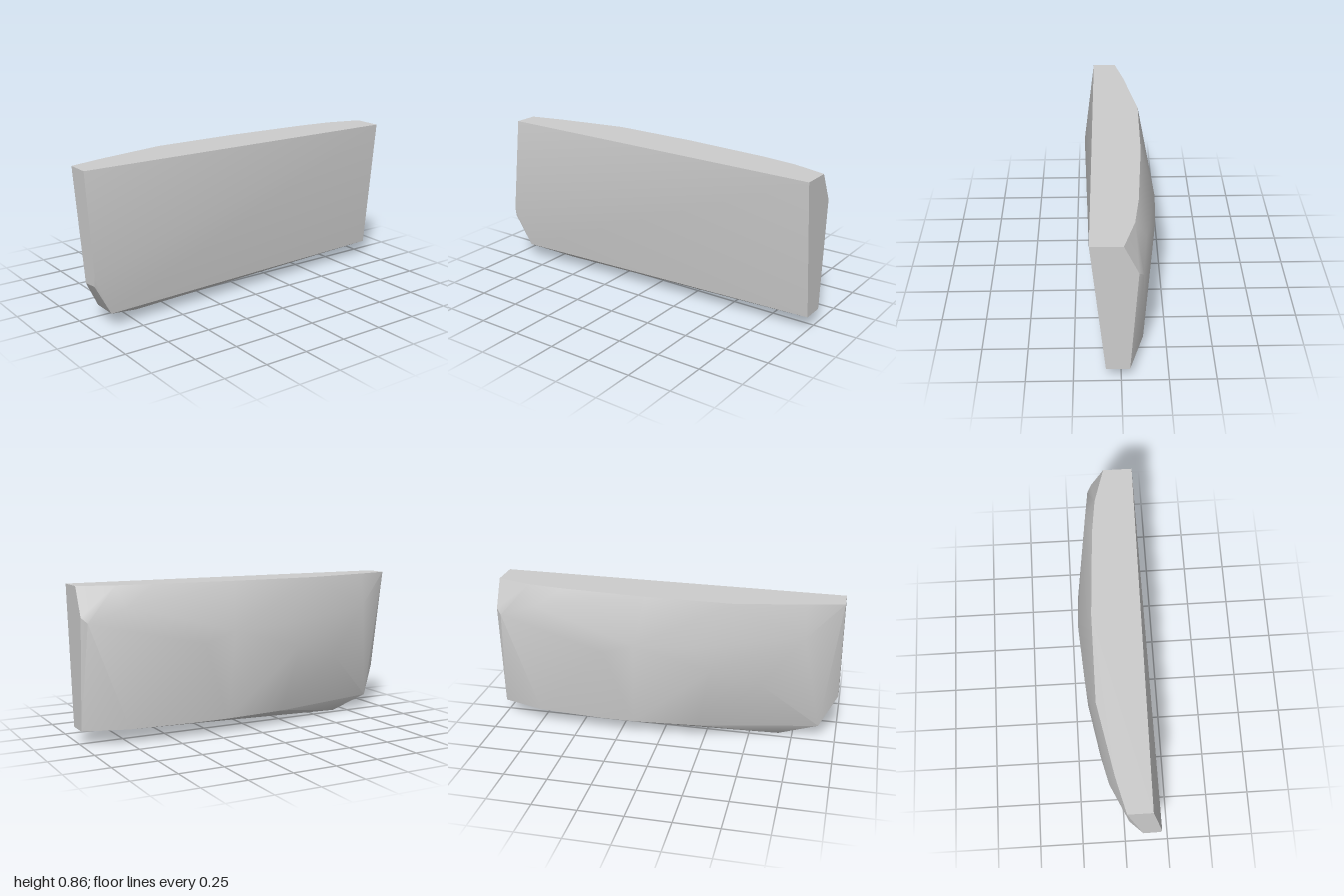
import * as THREE from 'three';
import { ConvexGeometry } from 'three/addons/geometries/ConvexGeometry.js';
import { toCreasedNormals } from 'three/addons/utils/BufferGeometryUtils.js';

const TOP = 0.86, BASE = 0.08;
// Outline of a level rim: [x, z] pairs placed at one height
const rim = (y, pairs) => pairs.map(([x, z]) => new THREE.Vector3(x, y, z));
const spots = (list) => list.map((p) => new THREE.Vector3(...p));

export function createModel() {
  // Flat top: straight front edge, curved back edge
  const topRim = rim(TOP, [
    [-1, 0.135], [1, 0.155], [1, -0.01], [0.8, -0.07], [0.6, -0.095],
    [0.1, -0.125], [-0.4, -0.127], [-0.8, -0.05], [-1, 0],
  ]);

  // Lower rim where the sides meet the underside
  const baseRim = rim(BASE, [
    [-0.9, 0.18], [1, 0.08], [1, -0.045], [0.75, -0.122], [0.37, -0.15],
    [0.17, -0.15], [-0.21, -0.118], [-0.9, 0.03],
  ]);

  // Blunt ends, with the chamfered lower corner, and the lowest tip
  const ends = spots([
    [-1, 0.31, 0.204], [-1, 0.26, 0.197], [-1, 0.25, 0.1],
    [1, 0.7, -0.085], [0.97, 0.67, -0.108], [-0.67, 0, 0.04],
  ]);

  // Rounded, uneven back
  const back = spots([
    [0.76, 0.75, -0.13], [0.33, 0.53, -0.2], [0.15, 0.59, -0.205],
    [-0.18, 0.6, -0.183], [-0.29, 0.46, -0.172], [-0.57, 0.38, -0.118],
    [-0.8, 0.67, -0.08],
  ]);

  const hull = new ConvexGeometry([...topRim, ...baseRim, ...ends, ...back]);
  const slab = new THREE.Mesh(
    toCreasedNormals(hull, 0.5),
    new THREE.MeshStandardMaterial({ color: 0xcccccc }),
  );
  slab.name = 'stoneSlab';

  const group = new THREE.Group();
  group.name = 'rock';
  group.add(slab);
  return group;
}
